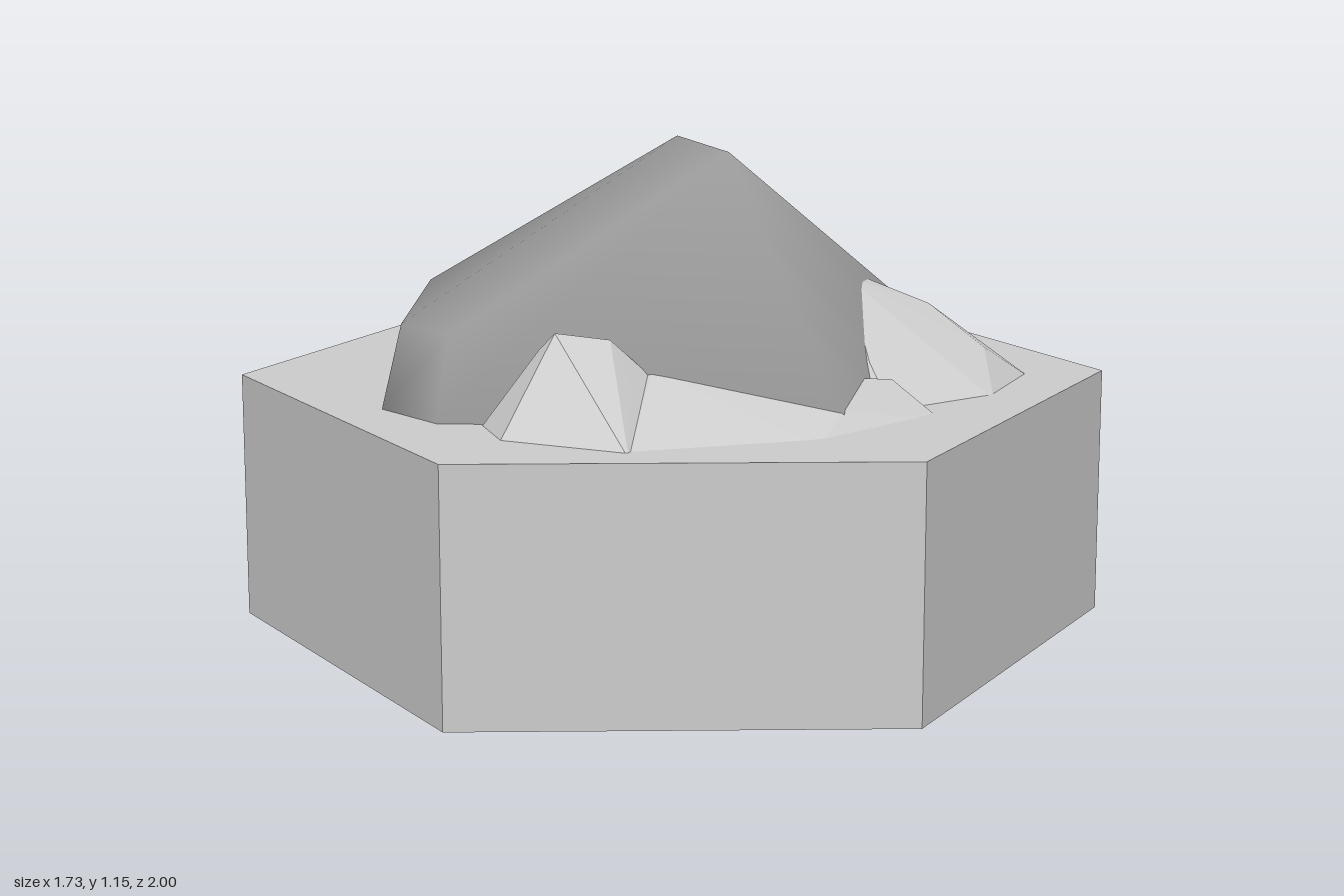
import * as THREE from 'three';
import { ConvexGeometry } from 'three/addons/geometries/ConvexGeometry.js';
import { mergeVertices } from 'three/addons/utils/BufferGeometryUtils.js';

const TOP = 0.575;

const hull = (pts) => new ConvexGeometry(pts.map((p) => new THREE.Vector3(...p)));

// rounded hull: share vertices and average their normals
function smoothHull(pts) {
  let g = hull(pts);
  g.deleteAttribute('normal');
  g = mergeVertices(g, 1e-4);
  g.computeVertexNormals();
  return g;
}

// faceted mound: a ground outline [x, z] buried slightly, plus raised points [x, y, z]
const mound = (outline, peaks) =>
  hull([...outline.map(([x, z]) => [x, TOP - 0.01, z]), ...peaks]);

export function createModel() {
  const model = new THREE.Group();
  const paleStone = new THREE.MeshStandardMaterial({ color: 0xcccccc });
  const darkStone = new THREE.MeshStandardMaterial({ color: 0x999999 });
  paleStone.name = 'paleStone';
  darkStone.name = 'darkStone';

  const add = (name, geometry, material) => {
    const mesh = new THREE.Mesh(geometry, material);
    mesh.name = name;
    model.add(mesh);
  };

  // six-sided tile with a shallow hollow underneath
  const profile = [[0, 0.05], [0.35, 0.04], [0.6, 0], [1, 0], [1, TOP], [0, TOP]];
  const tile = new THREE.LatheGeometry(profile.map((p) => new THREE.Vector2(...p)), 6).toNonIndexed();
  tile.computeVertexNormals();
  add('hexTile', tile, paleStone);

  // large smooth boulder: ground outline carried below the tile surface, shoulders, crest
  const outline = [
    [-0.59, 0.21], [-0.575, -0.36], [-0.52, -0.47], [-0.42, -0.55], [-0.25, -0.57],
    [0.2, -0.57], [0.45, -0.49], [0.49, -0.33], [0.52, 0], [0.6, 0.31],
    [-0.05, 0.62], [-0.2, 0.7], [-0.38, 0.64],
  ];
  const boulder = [
    ...outline.map(([x, z]) => [x, 0.58, z]),
    ...outline.map(([x, z]) => [x * 0.98, 0.4, z * 0.98]),
    [-0.55, 0.775, 0.18], [-0.53, 0.775, -0.32], [-0.4, 0.77, -0.48],
    [-0.15, 0.79, -0.5], [0.2, 0.78, -0.5], [0.43, 0.66, -0.47],
    [-0.36, 0.76, 0.59], [-0.2, 0.76, 0.65],
    [-0.36, 0.9, -0.2], [-0.21, 1.0, -0.33], [0.01, 1.13, 0], [0.3, 1.15, 0.3],
  ];
  add('boulder', smoothHull(boulder), darkStone);

  // small faceted mounds leaning against the boulder
  add('frontMound', mound(
    [[-0.11, 0.67], [0, 0.77], [0.3, 0.74], [0.3, 0.4], [-0.1, 0.45]],
    [[0.04, 0.78, 0.6], [0.13, 0.76, 0.52], [0.0, 0.74, 0.6], [0.2, 0.68, 0.56]]), paleStone);
  add('lowSlope', mound(
    [[0.1, 0.7], [0.3, 0.74], [0.6, 0.45], [0.72, 0.1], [0.4, 0]],
    [[0.2, 0.69, 0.46], [0.32, 0.66, 0.42], [0.58, 0.61, 0.3], [0.58, 0.63, 0.05]]), paleStone);
  add('rightMound', mound(
    [[0.4, 0.12], [0.62, 0.12], [0.75, -0.13], [0.73, -0.39], [0.55, -0.5], [0.4, -0.69], [0.3, -0.4]],
    [[0.38, 0.815, -0.13], [0.4, 0.8, -0.2], [0.52, 0.74, -0.28], [0.44, 0.71, -0.02],
      [0.52, 0.66, 0.04], [0.66, 0.65, -0.28]]), paleStone);
  add('backMound', mound(
    [[-0.36, -0.58], [-0.11, -0.73], [0.09, -0.7], [0.2, -0.56], [0.1, -0.4], [-0.25, -0.4]],
    [[-0.1, 0.77, -0.52], [0.04, 0.77, -0.54], [-0.04, 0.8, -0.48], [-0.2, 0.68, -0.56]]), paleStone);

  return model;
}
